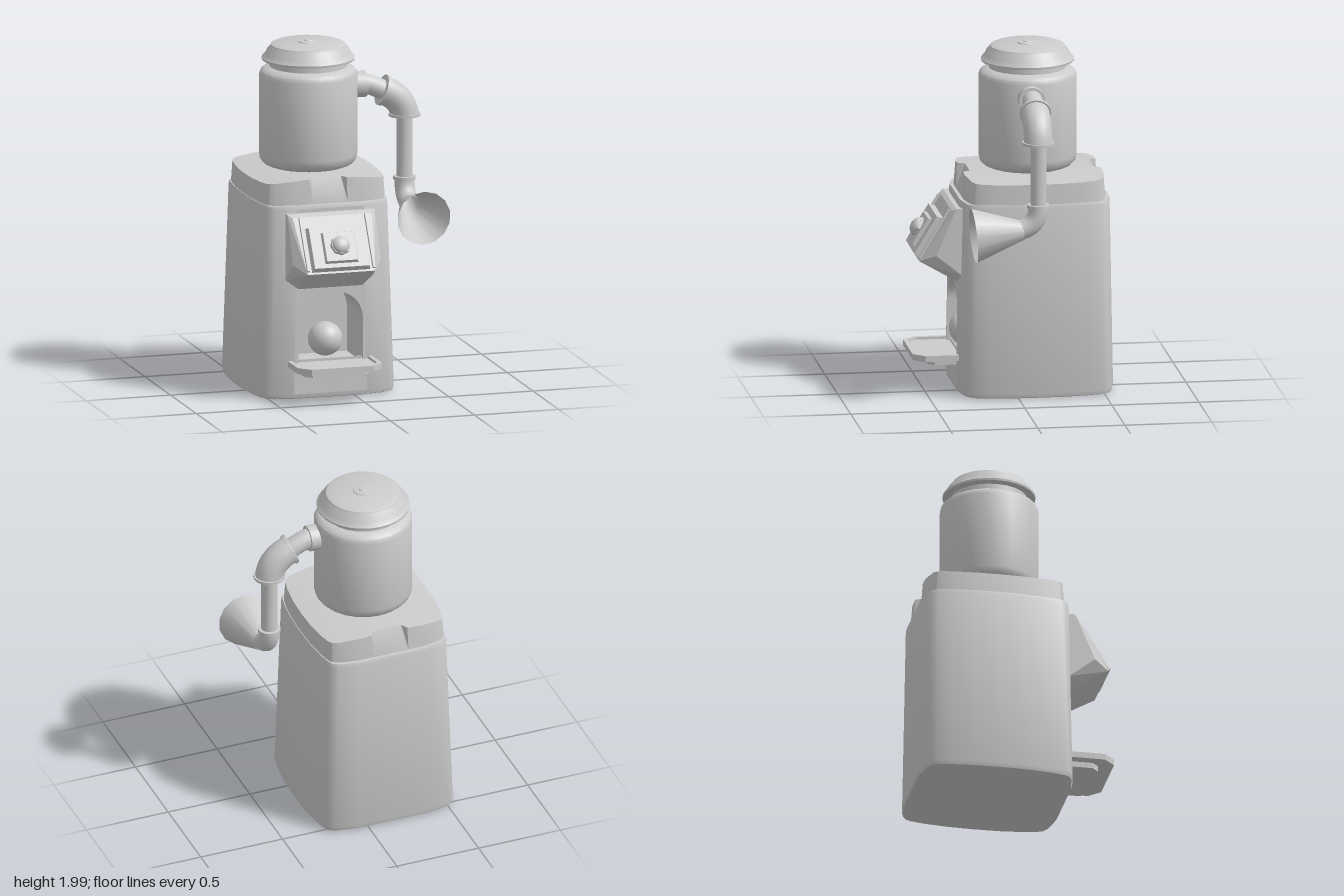
import * as THREE from 'three';
import { toCreasedNormals } from 'three/addons/utils/BufferGeometryUtils.js';
import { ConvexGeometry } from 'three/addons/geometries/ConvexGeometry.js';

const CX = -0.147, CZ = -0.122;
const V = (x, y, z) => new THREE.Vector3(x, y, z);
const grey = new THREE.MeshStandardMaterial({ color: 0xcccccc });
const greyDouble = new THREE.MeshStandardMaterial({ color: 0xcccccc, side: THREE.DoubleSide });

function add(parent, name, geometry, crease = 0.6, material = grey) {
  const mesh = new THREE.Mesh(toCreasedNormals(geometry, crease), material);
  mesh.name = name;
  parent.add(mesh);
  return mesh;
}

// Skin between closed rings of points; skip(ring, column) leaves gaps
function loft(rings, skip = () => false) {
  const pos = [];
  const tri = (...p) => {
    if (p[0].distanceTo(p[1]) > 1e-6 && p[1].distanceTo(p[2]) > 1e-6 && p[2].distanceTo(p[0]) > 1e-6)
      p.forEach(v => pos.push(v.x, v.y, v.z));
  };
  for (let k = 0; k + 1 < rings.length; k++) {
    const n = rings[k].length;
    for (let i = 0; i < n; i++) {
      if (skip(k, i)) continue;
      const j = (i + 1) % n;
      const a = rings[k][i], b = rings[k][j], c = rings[k + 1][j], d = rings[k + 1][i];
      tri(a, d, c);
      tri(a, c, b);
    }
  }
  const g = new THREE.BufferGeometry();
  g.setAttribute('position', new THREE.Float32BufferAttribute(pos, 3));
  g.computeVertexNormals();
  return g;
}

// Soft square outline, mirrored from one quarter
const QUARTER = [[1, 0], [0.99, 0.35], [0.955, 0.65], [0.915, 0.83], [0.88, 0.895], [0.8, 0.945], [0.5, 1]];
function outline(q) {
  const back = [...q].reverse();
  return [
    ...q,
    ...back.map(([x, z]) => [-x, z]),
    ...q.slice(1).map(([x, z]) => [-x, -z]),
    ...back.slice(0, -1).map(([x, z]) => [x, -z]),
  ];
}

// Straight cylinder or cone between two points
function rod(parent, name, a, b, ra, rb = ra, sides = 20) {
  const dir = b.clone().sub(a);
  const mesh = add(parent, name, new THREE.CylinderGeometry(rb, ra, dir.length(), sides));
  mesh.position.copy(a).add(b).multiplyScalar(0.5);
  mesh.quaternion.setFromUnitVectors(V(0, 1, 0), dir.normalize());
  return mesh;
}

function bend(parent, name, a, mid, b, r) {
  const curve = new THREE.QuadraticBezierCurve3(a, mid, b);
  return add(parent, name, new THREE.TubeGeometry(curve, 8, r, 20), 0.6, greyDouble);
}

// Box whose front face is smaller than its back
function plate(parent, name, w, h, d, inset, x, y, z) {
  const g = new THREE.BoxGeometry(w, h, d), p = g.attributes.position;
  for (let i = 0; i < p.count; i++) if (p.getZ(i) > 0)
    p.setXY(i, p.getX(i) - Math.sign(p.getX(i)) * inset, p.getY(i) - Math.sign(p.getY(i)) * inset);
  const mesh = add(parent, name, g, 0.2);
  mesh.position.set(x, y, z + d / 2);
  return mesh;
}

function archShape(Type) {
  const s = new Type();
  s.moveTo(-0.192, 0.2).lineTo(0.192, 0.2).lineTo(0.192, 0.46);
  s.absarc(0.032, 0.46, 0.16, 0, Math.PI / 2, false);
  s.lineTo(-0.032, 0.62);
  s.absarc(-0.032, 0.46, 0.16, Math.PI / 2, Math.PI, false);
  s.closePath();
  return s;
}

function buildBody(root) {
  const body = new THREE.Group();
  body.name = 'body';
  body.position.set(CX, 0, CZ);
  root.add(body);
  const section = outline(QUARTER);
  const [y0, hx0, hz0, y1, hx1, hz1] = [0.04, 0.433, 0.449, 1.11, 0.395, 0.432];
  const levels = [[0.008, 0, 0], [0.008, 0.405, 0.42], [0.016, 0.427, 0.443], [y0, hx0, hz0],
    [y1, hx1, hz1], [1.13, 0.39, 0.426], [1.13, 0.378, 0.405], [1.08, 0.378, 0.405]];
  const rings = levels.map(([y, hx, hz]) => section.map(([x, z]) => V(x * hx, y, z * hz)));
  add(body, 'bodyShell', loft(rings, (k, i) => k === 3 && i === QUARTER.length - 1), 0.6, greyDouble);

  // Front panel with the arched opening
  const front = y => hz0 + (hz1 - hz0) * (y - y0) / (y1 - y0);
  const panel = new THREE.Shape();
  panel.moveTo(-hx0 / 2, y0).lineTo(hx0 / 2, y0).lineTo(hx1 / 2, y1).lineTo(-hx1 / 2, y1).closePath();
  panel.holes.push(archShape(THREE.Path));
  const g = new THREE.ShapeGeometry(panel, 10), p = g.attributes.position;
  for (let i = 0; i < p.count; i++) p.setZ(i, front(p.getY(i)));
  g.computeVertexNormals();
  add(body, 'frontPanel', g);

  // Alcove behind the opening
  const arch = archShape(THREE.Shape), pts = arch.getPoints(10).slice(0, -1);
  add(body, 'alcoveWalls', loft([pts.map(q => V(q.x, q.y, front(q.y))), pts.map(q => V(q.x, q.y, 0.13))]),
    0.6, greyDouble);
  add(body, 'alcoveBack', new THREE.ShapeGeometry(arch, 10)).position.z = 0.13;

  // Cover with a sloping notch at front and back
  const cover = outline([...QUARTER, [0.29, 1], [0.23, 1]]);
  const crown = x => 1.275 - 0.03 * (x / 0.38) ** 2;
  const ring = (hx, hz, y, notch) => cover.map(([x, z]) => {
    const cut = Math.abs(x) < 0.25 && Math.abs(z) === 1 ? notch * Math.sign(z) : 0;
    return V(x * hx, y ?? crown(x * hx), z * hz - cut);
  });
  add(body, 'cover', loft([ring(0.388, 0.408, 1.08, 0), ring(0.386, 0.406, 1.14, 0),
    ring(0.38, 0.396, undefined, 0.04), ring(0.31, 0.325, undefined, 0), ring(0, 0, 1.278, 0)]), 0.45);
}

function buildTank(root) {
  const tank = new THREE.Group();
  tank.name = 'tank';
  tank.position.set(-0.148, 0, -0.112);
  root.add(tank);
  const lathe = (name, pts, sides) =>
    add(tank, name, new THREE.LatheGeometry(pts.map(([r, y]) => new THREE.Vector2(r, y)), sides), 0.6);
  lathe('jar', [[0, 1.27], [0.22, 1.275], [0.252, 1.288], [0.273, 1.31], [0.281, 1.345], [0.281, 1.8],
    [0.273, 1.825], [0.25, 1.843], [0.222, 1.85], [0.22, 1.89]], 24);
  lathe('jarLid', [[0.21, 1.885], [0.264, 1.888], [0.266, 1.9], [0.243, 1.925], [0.236, 1.945],
    [0.216, 1.965], [0.212, 1.975], [0.19, 1.984], [0, 1.988]], 28);
  lathe('lidKnob', [[0.06, 1.982], [0.055, 1.992], [0.025, 1.995], [0.022, 2], [0, 2]], 16);
}

function buildPipe(root) {
  const pipe = new THREE.Group();
  pipe.name = 'pipe';
  root.add(pipe);
  const z = -0.09, x = 0.417;
  rod(pipe, 'tankCollar', V(0.1, 1.725, z), V(0.183, 1.725, z), 0.075);
  bend(pipe, 'outletPipe', V(0.16, 1.73, z), V(0.21, 1.725, z), V(0.3, 1.676, z), 0.057);
  rod(pipe, 'elbowLip', V(0.282, 1.684, z), V(0.3, 1.677, z), 0.09);
  bend(pipe, 'upperElbow', V(0.29, 1.68, z), V(0.405, 1.635, z), V(x, 1.53, z), 0.082);
  rod(pipe, 'elbowFlange', V(x, 1.525, z), V(x, 1.54, z), 0.092);
  rod(pipe, 'downPipe', V(x, 1.16, z), V(x, 1.53, z), 0.046);
  rod(pipe, 'lowerCollar', V(x, 1.155, z), V(x, 1.175, z), 0.064);
  bend(pipe, 'lowerElbow', V(x, 1.16, z), V(x, 1.05, z), V(x, 1.028, 0.02), 0.057);
  // Open horn
  const horn = add(pipe, 'horn', new THREE.CylinderGeometry(0.158, 0.055, 0.285, 14, 1, true), 0.6, greyDouble);
  horn.position.set(x + 0.002, 1.016, 0.14);
  horn.rotation.x = Math.PI / 2 + 0.08;
}

function buildControls(root) {
  const controls = new THREE.Group();
  controls.name = 'controls';
  controls.position.x = -0.149;
  root.add(controls);
  // Housing, narrower towards its face
  const corners = [[0.26, 1.09, 0.29], [0.26, 1.09, 0.335], [0.235, 1.075, 0.358], [0.26, 0.82, 0.45],
    [0.2, 0.78, 0.54], [0.26, 0.7, 0.3], [0.19, 0.645, 0.31]];
  add(controls, 'housing', new ConvexGeometry(corners.flatMap(([x, y, z]) => [V(x, y, z), V(-x, y, z)])), 0.1);

  // Everything on the slanted face
  const face = new THREE.Group();
  face.name = 'controlFace';
  face.position.set(0, 0.932, 0.445);
  face.rotation.x = -0.553;
  controls.add(face);
  for (const s of [-1, 1]) plate(face, 'sideBar', 0.02, 0.33, 0.03, 0.004, s * 0.195, 0, -0.015);
  plate(face, 'facePlate', 0.35, 0.27, 0.05, 0.012, 0, -0.035, -0.01);
  plate(face, 'buttonPlate', 0.2, 0.19, 0.025, 0.01, 0, -0.04, 0.035);
  const spot = [0, -0.035];
  const collar = add(face, 'buttonCollar', new THREE.CylinderGeometry(0.055, 0.06, 0.02, 8), 0.2);
  collar.rotation.x = Math.PI / 2;
  collar.position.set(...spot, 0.068);
  const button = add(face, 'button', new THREE.SphereGeometry(0.05, 16, 8, 0, Math.PI * 2, 0, Math.PI / 2), 1);
  button.rotation.x = Math.PI / 2;
  button.scale.y = 0.6;
  button.position.set(...spot, 0.076);
}

function buildTray(root) {
  const tray = new THREE.Group();
  tray.name = 'tray';
  tray.position.x = -0.15;
  root.add(tray);
  // Chamfered outline drawn with y pointing to the back
  const trace = (s, w, f, c, b) => s.moveTo(-w, -b).lineTo(-w, c - f).lineTo(c - w, -f)
    .lineTo(w - c, -f).lineTo(w, c - f).lineTo(w, -b).closePath();
  const slab = (name, shape, y, depth) => {
    const g = new THREE.ExtrudeGeometry(shape, { depth, bevelEnabled: false });
    add(tray, name, g.rotateX(-Math.PI / 2), 0.2).position.y = y;
  };
  const rim = trace(new THREE.Shape(), 0.25, 0.575, 0.065, 0.3);
  rim.holes.push(trace(new THREE.Path(), 0.225, 0.55, 0.055, 0.305));
  slab('trayRim', rim, 0.2, 0.035);
  slab('trayFloor', trace(new THREE.Shape(), 0.24, 0.565, 0.06, 0.3), 0.2, 0.02);
  slab('trayBase', trace(new THREE.Shape(), 0.192, 0.49, 0.04, 0.3), 0.167, 0.035);
  const ball = add(root, 'ball', new THREE.SphereGeometry(0.098, 28, 18), 1);
  ball.position.set(-0.155, 0.335, 0.24);
}

export function createModel() {
  const root = new THREE.Group();
  root.name = 'dispenser';
  [buildBody, buildTank, buildPipe, buildControls, buildTray].forEach(build => build(root));
  return root;
}
